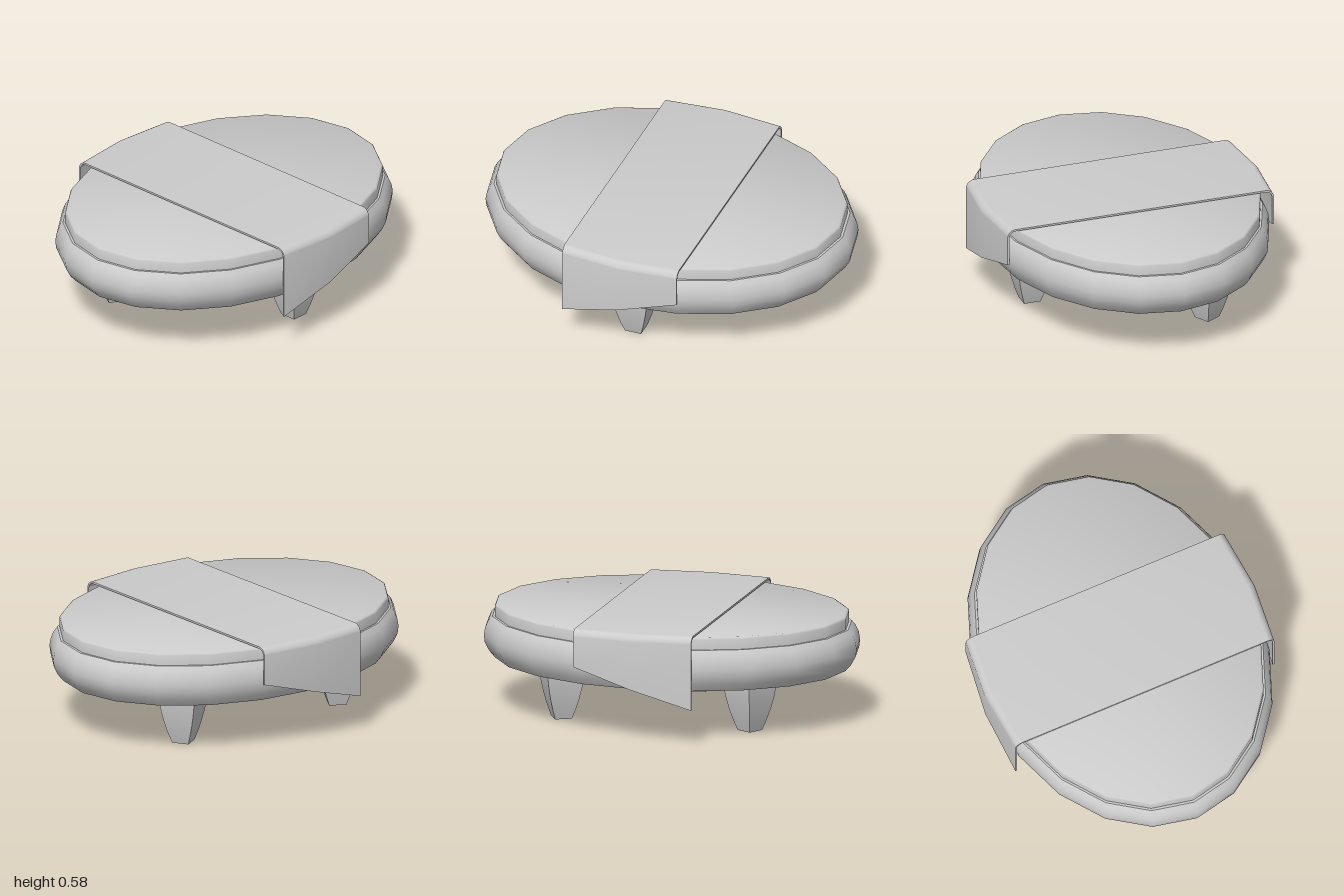
import * as THREE from 'three';
import { toCreasedNormals } from 'three/addons/utils/BufferGeometryUtils.js';

const material = new THREE.MeshStandardMaterial({ color: 0xcccccc });

function part(name, geometry, crease = 0.75) {
  const mesh = new THREE.Mesh(toCreasedNormals(geometry, crease), material);
  mesh.name = name;
  return mesh;
}

// Turned profile [radius, y], squashed along z to an oval
function turned(profile, sides, depth = 1) {
  const points = profile.map(([r, y]) => new THREE.Vector2(r, y));
  return new THREE.LatheGeometry(points, sides).scale(1, 1, depth);
}

// Thin band with bent-down ends, bowed around the oval and cut on a slant
function strapGeometry() {
  const halfWidth = 0.32, thickness = 0.01, top = 0.577, reach = 0.765, bend = 0.045;
  const shape = new THREE.Shape();
  const inner = reach - thickness, innerTop = top - thickness;
  shape.moveTo(reach, 0);
  shape.lineTo(reach, top - bend);
  shape.absarc(reach - bend, top - bend, bend, 0, Math.PI / 2);
  shape.absarc(bend - reach, top - bend, bend, Math.PI / 2, Math.PI);
  shape.lineTo(-reach, 0);
  shape.lineTo(-inner, 0);
  shape.absarc(bend - reach, top - bend, bend - thickness, Math.PI, Math.PI / 2, true);
  shape.lineTo(reach - bend, innerTop);
  shape.absarc(reach - bend, top - bend, bend - thickness, Math.PI / 2, 0, true);
  shape.lineTo(inner, 0);
  const geometry = new THREE.ExtrudeGeometry(shape, {
    depth: halfWidth * 2, steps: 2, bevelEnabled: false, curveSegments: 5,
  });
  geometry.translate(0, 0, -halfWidth).rotateY(Math.PI / 2);
  const p = geometry.attributes.position;
  for (let i = 0; i < p.count; i++) {
    const x = p.getX(i), z = p.getZ(i);
    p.setZ(i, z - Math.sign(z) * 0.03 * Math.abs(x) / halfWidth);
    if (p.getY(i) < 0.1) p.setY(i, 0.283 + 0.3 * x);
  }
  return geometry;
}

export function createModel() {
  const model = new THREE.Group();
  model.name = 'lowOvalTable';

  // Rounded oval body
  model.add(part('body', turned([
    [0, 0.275], [0.94, 0.275], [0.972, 0.312], [0.995, 0.355], [1, 0.395],
    [0.993, 0.435], [0.977, 0.47], [0.955, 0.495], [0, 0.495],
  ], 20, 0.75)));

  // Flat top slab with a softened rim
  model.add(part('topSlab', turned([
    [0.942, 0.48], [0.942, 0.549], [0.938, 0.556], [0.93, 0.56], [0, 0.56],
  ], 20, 0.75)));

  // Cloth strap across the top
  model.add(part('strap', strapGeometry()));

  // Three square, bulging, tapered legs
  const legProfile = [[0, 0], [0.045, 0], [0.062, 0.055], [0.077, 0.115],
    [0.089, 0.175], [0.097, 0.235], [0.1, 0.29], [0, 0.29]];
  const legGeometry = turned(legProfile.map(([r, y]) => [r * Math.SQRT2, y]), 4)
    .rotateY(Math.PI / 4);
  const legs = [['frontLeg', 0, 0.5, 0], ['backLeftLeg', 0.51, -0.298, 1], ['backRightLeg', -0.51, -0.298, -1]];
  for (const [name, x, z, turn] of legs) {
    const leg = part(name, legGeometry);
    leg.position.set(x, 0, z);
    leg.rotation.y = turn * Math.PI * 2 / 3;
    model.add(leg);
  }
  return model;
}
